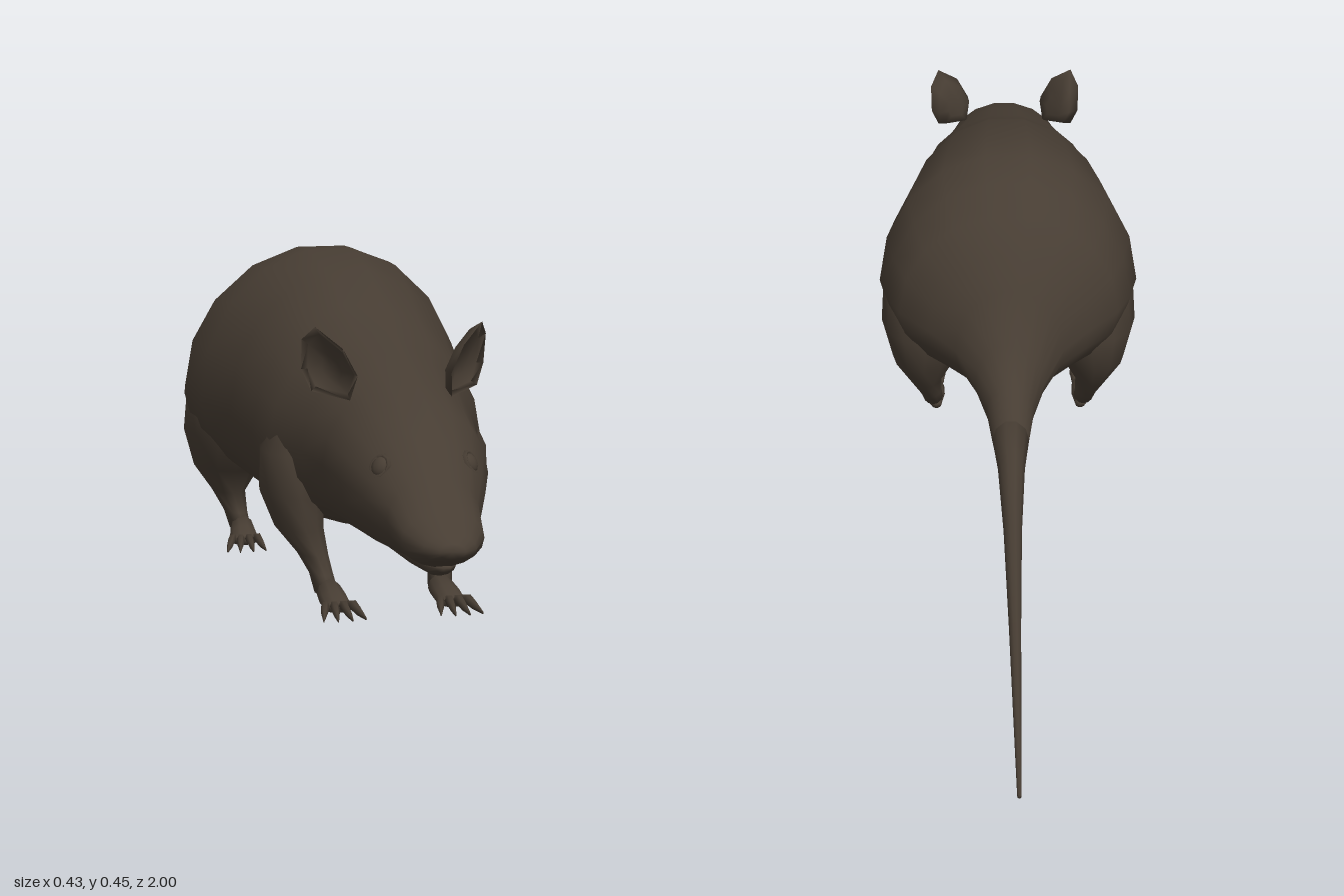
import * as THREE from 'three';

const fur = new THREE.MeshStandardMaterial({ color: 0x473d33, side: THREE.DoubleSide });
fur.name = 'dark brown fur';

// Skin closed rings of points with smooth quads and a fan at each end.
function skin(rings) {
  const n = rings[0].length, pos = [], idx = [];
  rings.forEach(r => r.forEach(p => pos.push(...p)));
  const at = (i, j) => i * n + (j % n);
  for (let i = 0; i < rings.length - 1; i++)
    for (let j = 0; j < n; j++)
      idx.push(at(i, j), at(i, j + 1), at(i + 1, j), at(i, j + 1), at(i + 1, j + 1), at(i + 1, j));
  const end = rings.length - 1;
  [0, end].forEach(i => {
    const mid = [0, 1, 2].map(k => rings[i].reduce((s, p) => s + p[k], 0) / n);
    const c = pos.push(...mid) / 3 - 1;
    for (let j = 0; j < n; j++)
      idx.push(c, at(i, i ? j : j + 1), at(i, i ? j + 1 : j));
  });
  const g = new THREE.BufferGeometry();
  g.setAttribute('position', new THREE.Float32BufferAttribute(pos, 3));
  g.setIndex(idx);
  g.computeVertexNormals();
  return g;
}

const angles = n => Array.from({ length: n }, (_, j) => (j / n) * Math.PI * 2);

// Upright rings from back to front: [z, top, widest height, bottom, half width]
const loftZ = (rows, n = 18, cx = () => 0) => skin(rows.map(([z, top, mid, bot, w]) =>
  angles(n).map(a => {
    const s = Math.sin(a);
    return [cx(z) + Math.cos(a) * w, mid + s * (s > 0 ? top - mid : mid - bot), z];
  })));

// Level rings from top to bottom: [x, y, z, radius x, radius z]
const loftDown = (rows, side, n = 12) => skin(rows.map(([x, y, z, rx, rz]) =>
  angles(n).map(a => [side * x + Math.cos(a) * rx, y, z + Math.sin(a) * rz])));

const BODY = [
  [-0.15, 0.14, 0.105, 0.07, 0.029], [-0.09, 0.17, 0.125, 0.085, 0.038],
  [-0.04, 0.22, 0.15, 0.1, 0.056], [0.0, 0.295, 0.19, 0.112, 0.088],
  [0.03, 0.345, 0.21, 0.113, 0.13], [0.07, 0.395, 0.225, 0.11, 0.178],
  [0.12, 0.433, 0.23, 0.105, 0.2], [0.19, 0.454, 0.23, 0.095, 0.213],
  [0.26, 0.459, 0.23, 0.083, 0.2], [0.38, 0.442, 0.23, 0.075, 0.178],
  [0.48, 0.405, 0.22, 0.08, 0.164], [0.56, 0.378, 0.22, 0.095, 0.155],
  [0.64, 0.36, 0.225, 0.106, 0.125], [0.72, 0.333, 0.22, 0.11, 0.112],
  [0.79, 0.312, 0.215, 0.114, 0.104], [0.85, 0.28, 0.2, 0.118, 0.084],
  [0.9, 0.238, 0.18, 0.122, 0.064], [0.95, 0.2, 0.163, 0.126, 0.056],
  [0.985, 0.178, 0.157, 0.14, 0.036], [1.0, 0.168, 0.157, 0.148, 0.018],
];
const TAIL = [
  [-1, 0.012, 0.01, 0.006, 0.003], [-0.8, 0.027, 0.021, 0.014, 0.006],
  [-0.6, 0.043, 0.034, 0.025, 0.009], [-0.37, 0.08, 0.064, 0.047, 0.014],
  [-0.22, 0.116, 0.09, 0.063, 0.021], [-0.14, 0.143, 0.107, 0.07, 0.03],
];
const CHIN = [
  [0.82, 0.16, 0.14, 0.113, 0.05], [0.89, 0.15, 0.13, 0.109, 0.034],
  [0.935, 0.14, 0.125, 0.111, 0.022], [0.955, 0.13, 0.125, 0.12, 0.01],
];
const FRONT_LEG = [
  [0.105, 0.27, 0.55, 0.03, 0.04], [0.118, 0.21, 0.545, 0.046, 0.075],
  [0.12, 0.15, 0.545, 0.045, 0.075], [0.11, 0.1, 0.55, 0.035, 0.06],
  [0.095, 0.065, 0.575, 0.022, 0.038], [0.087, 0.04, 0.595, 0.017, 0.028],
  [0.083, 0.015, 0.615, 0.017, 0.026],
];
const HIND_LEG = [
  [0.12, 0.32, 0.17, 0.035, 0.05], [0.128, 0.24, 0.175, 0.078, 0.1],
  [0.135, 0.17, 0.165, 0.075, 0.105], [0.14, 0.11, 0.15, 0.052, 0.07],
  [0.138, 0.07, 0.15, 0.026, 0.042], [0.13, 0.04, 0.165, 0.018, 0.034],
  [0.126, 0.015, 0.185, 0.016, 0.028],
];

export function createModel() {
  const model = new THREE.Group();
  model.name = 'rodent';
  const add = (name, geometry) => {
    const m = new THREE.Mesh(geometry, fur);
    m.name = name;
    model.add(m);
    return m;
  };

  add('body', loftZ(BODY));
  add('tail', loftZ(TAIL, 10));
  add('chin', loftZ(CHIN, 12));

  // Paw: a flat sole, then four splayed toes each ending in a claw
  function paw(name, side, x, z, length, turn) {
    const tip = z + length * 0.55, cx = q => side * (x + (q - z) * turn);
    add(name, loftZ([
      [z - 0.035, 0.018, 0.012, 0.006, 0.008], [z, 0.036, 0.015, 0.002, 0.018],
      [z + length * 0.3, 0.028, 0.012, 0.002, 0.021], [tip, 0.018, 0.01, 0.003, 0.02],
    ], 10, cx));
    for (let i = 0; i < 4; i++) {
      const k = i - 1.5, reach = length * (0.45 - 0.04 * Math.abs(k));
      const root = tip - 0.012;
      const path = q => cx(q) + k * (0.0105 + 0.16 * (q - root));
      add(name + 'Toe', loftZ([
        [root, 0.018, 0.011, 0.004, 0.006], [root + reach * 0.4, 0.023, 0.015, 0.007, 0.006],
        [root + reach * 0.75, 0.017, 0.01, 0.004, 0.005], [root + reach + 0.012, 0.007, 0.005, 0.003, 0.001],
      ], 6, path));
    }
  }

  for (const side of [1, -1]) {
    const label = side > 0 ? 'left' : 'right';
    add(label + 'FrontLeg', loftDown(FRONT_LEG, side));
    add(label + 'HindLeg', loftDown(HIND_LEG, side));
    paw(label + 'FrontPaw', side, 0.081, 0.625, 0.12, 0.02);
    paw(label + 'HindPaw', side, 0.125, 0.195, 0.115, 0.12);

    // Cupped ear: rim, inner bowl and rounded back
    const rim = [
      [0.072, 0.308, 0.715], [0.066, 0.345, 0.735], [0.085, 0.382, 0.728], [0.118, 0.409, 0.7],
      [0.131, 0.388, 0.672], [0.13, 0.345, 0.664], [0.118, 0.316, 0.675],
    ];
    const ring = (s, push) => rim.map(([x, y, z]) => [
      side * (0.098 + (x - 0.098) * s - push * 0.5),
      0.345 + (y - 0.345) * s, 0.698 + (z - 0.698) * s - push,
    ]);
    const rings = [ring(0.4, 0.022), ring(0.8, 0.018), ring(1, 0), ring(0.82, 0.008), ring(0.35, 0.014)];
    // keep faces outward on both sides of the head
    if (side > 0) rings.forEach(r => r.reverse());
    add(label + 'Ear', skin(rings));

    // Eye with a raised lid around it
    const out = new THREE.Vector3(side * 0.75, 0.45, 0.5).normalize();
    const turn = new THREE.Quaternion().setFromUnitVectors(new THREE.Vector3(0, 0, 1), out);
    const eye = add(label + 'Eye', new THREE.SphereGeometry(0.014, 10, 8));
    const lid = add(label + 'Eyelid', new THREE.TorusGeometry(0.015, 0.004, 5, 10));
    for (const m of [eye, lid]) {
      m.position.set(side * 0.062, 0.243, 0.853);
      m.quaternion.copy(turn);
    }
    eye.scale.z = 0.6;

    // Nostril pad
    const pad = add(label + 'Nostril', new THREE.SphereGeometry(0.011, 8, 6));
    pad.position.set(side * 0.011, 0.159, 0.988);
  }
  return model;
}
